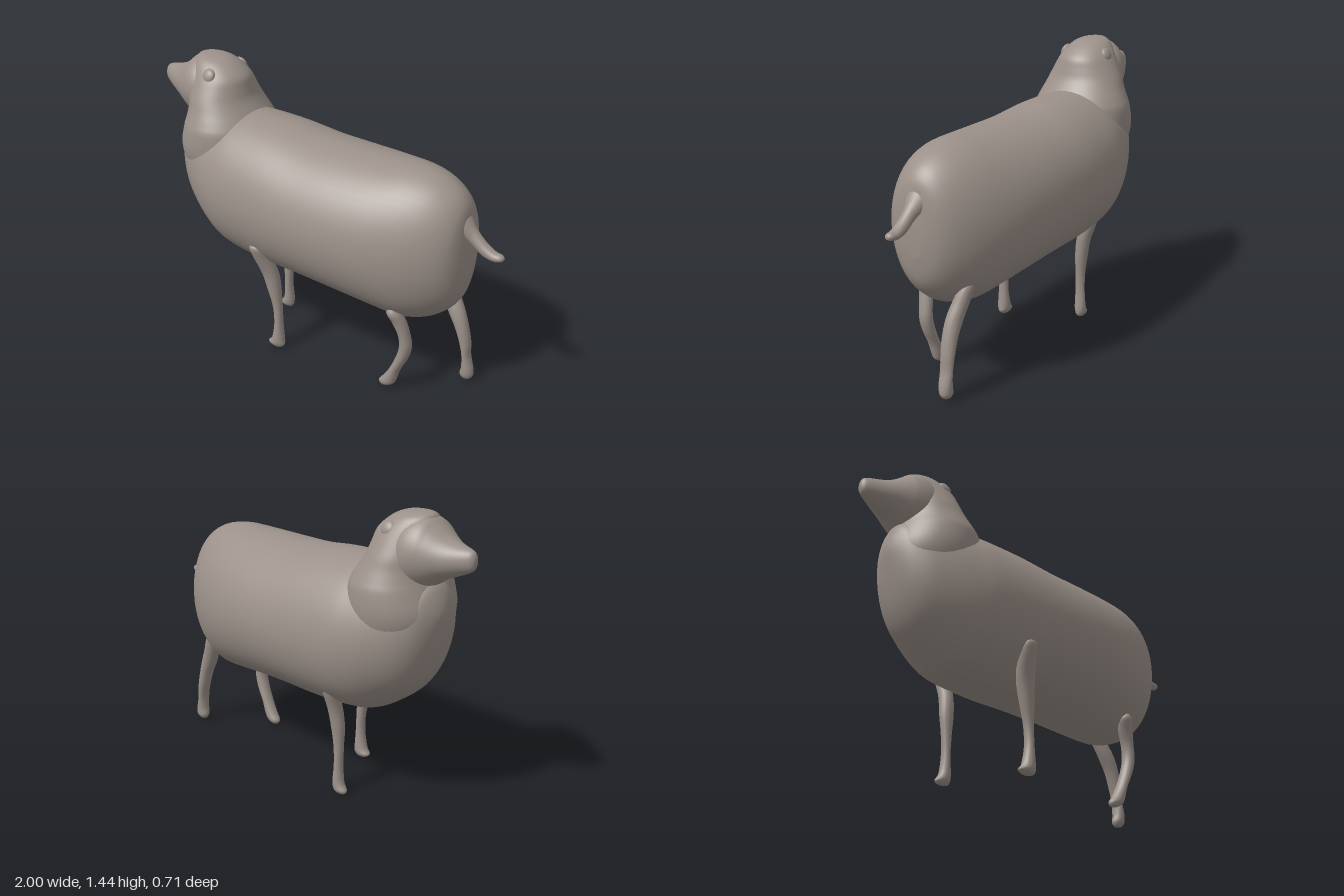
import * as THREE from 'three';

const wool = new THREE.MeshStandardMaterial({ color: 0x9c918a });
wool.name = 'warm grey wool';

// Uniform Catmull-Rom interpolation between neighbouring values
function cubic(a, b, c, d, t) {
  return b + 0.5 * t * (c - a + t * (2 * a - 5 * b + 4 * c - d + t * (3 * (b - c) + d - a)));
}

function refine(rings, steps) {
  const out = [];
  const at = i => rings[Math.min(rings.length - 1, Math.max(0, i))];
  for (let i = 0; i < rings.length - 1; i++) {
    for (let s = 0; s < steps; s++) {
      out.push(rings[i].map((_, k) => cubic(at(i - 1)[k], at(i)[k], at(i + 1)[k], at(i + 2)[k], s / steps)));
    }
  }
  out.push(at(rings.length));
  return out;
}

// Closed loft of ellipses along 'x' or 'y'.
// Ring: [position on axis (ascending), low edge, high edge, half width in z, z centre]
function loft(name, axis, rings, sides = 40, steps = 4) {
  const list = refine(rings.map(r => [r[0], r[1], r[2], r[3], r[4] || 0]), steps);
  const pos = [], index = [];
  const put = (p, q, z) => (axis === 'x' ? pos.push(p, q, z) : pos.push(q, p, z));
  const dir = axis === 'x' ? -1 : 1;
  for (const [p, lo, hi, w, zc] of list) {
    for (let j = 0; j < sides; j++) {
      const a = (j / sides) * Math.PI * 2;
      put(p, (lo + hi) / 2 + Math.cos(a) * (hi - lo) / 2, zc + dir * Math.sin(a) * w);
    }
  }
  const n = list.length;
  for (let i = 0; i < n - 1; i++) {
    for (let j = 0; j < sides; j++) {
      const k = (j + 1) % sides;
      const a = i * sides + j, b = a + sides, c = i * sides + k, d = c + sides;
      index.push(a, b, c, b, d, c);
    }
  }
  // Rounded ends meet at one centre point
  for (const [i, flip] of [[0, false], [n - 1, true]]) {
    const [p, lo, hi, , zc] = list[i];
    const centre = pos.length / 3;
    put(p, (lo + hi) / 2, zc);
    for (let j = 0; j < sides; j++) {
      const a = i * sides + j, b = i * sides + (j + 1) % sides;
      if (flip) index.push(centre, b, a);
      else index.push(centre, a, b);
    }
  }
  const g = new THREE.BufferGeometry();
  g.setAttribute('position', new THREE.Float32BufferAttribute(pos, 3));
  g.setIndex(index);
  g.computeVertexNormals();
  const mesh = new THREE.Mesh(g, wool);
  mesh.name = name;
  return mesh;
}

export function createModel() {
  const sheep = new THREE.Group();
  sheep.name = 'sheep';

  // Barrel-shaped body, chest to rump
  sheep.add(loft('body', 'x', [
    [-0.835, 1.02, 0.98, 0.02], [-0.825, 1.07, 0.92, 0.06], [-0.8, 1.13, 0.81, 0.12],
    [-0.76, 1.16, 0.7, 0.17], [-0.7, 1.18, 0.61, 0.22], [-0.6, 1.19, 0.53, 0.275],
    [-0.5, 1.19, 0.47, 0.312], [-0.4, 1.195, 0.445, 0.333], [-0.2, 1.187, 0.43, 0.348],
    [0, 1.165, 0.43, 0.355], [0.2, 1.16, 0.42, 0.352], [0.4, 1.16, 0.4, 0.332],
    [0.55, 1.16, 0.385, 0.295], [0.66, 1.14, 0.415, 0.25], [0.74, 1.1, 0.47, 0.2],
    [0.79, 1.05, 0.53, 0.15], [0.815, 0.98, 0.59, 0.1], [0.83, 0.82, 0.68, 0.04],
  ].map(([x, top, bottom, w]) => [x, bottom, top, w]), 56));

  // Neck narrowing up into the crown
  sheep.add(loft('neckAndCrown', 'y', [
    [0.75, -0.7, -0.36, 0.18], [0.9, -0.8, -0.34, 0.24], [1.0, -0.825, -0.34, 0.262],
    [1.1, -0.8, -0.36, 0.258], [1.15, -0.785, -0.385, 0.24], [1.2, -0.775, -0.42, 0.217],
    [1.25, -0.775, -0.45, 0.197], [1.3, -0.775, -0.465, 0.172], [1.35, -0.775, -0.48, 0.145],
    [1.39, -0.772, -0.52, 0.118], [1.42, -0.765, -0.565, 0.09], [1.437, -0.75, -0.61, 0.055],
    [1.442, -0.72, -0.65, 0.025],
  ], 48));

  // Tapered muzzle
  sheep.add(loft('muzzle', 'x', [
    [-1, 1.26, 1.29, 0.01], [-0.992, 1.238, 1.312, 0.024], [-0.97, 1.222, 1.325, 0.04],
    [-0.9, 1.19, 1.34, 0.078], [-0.85, 1.168, 1.36, 0.104], [-0.8, 1.135, 1.395, 0.13],
    [-0.76, 1.11, 1.425, 0.148], [-0.7, 1.09, 1.43, 0.16], [-0.6, 1.1, 1.4, 0.15],
  ]));

  // Small bulging eyes
  for (const side of [1, -1]) {
    const eye = new THREE.Mesh(new THREE.SphereGeometry(0.036, 20, 14), wool);
    eye.name = side > 0 ? 'leftSideEye' : 'rightSideEye';
    eye.scale.set(1, 1, 0.55);
    eye.position.set(-0.607, 1.368, side * 0.122);
    eye.rotation.x = -side * 0.45;
    sheep.add(eye);
  }

  // Tail dropping from the rump, with an upturned tip
  sheep.add(loft('tail', 'x', [
    [0.76, 0.84, 1.02, 0.09], [0.81, 0.87, 0.985, 0.055], [0.85, 0.845, 0.93, 0.034],
    [0.9, 0.81, 0.88, 0.03], [0.95, 0.8, 0.847, 0.028], [0.985, 0.805, 0.84, 0.022],
    [1, 0.815, 0.83, 0.01],
  ], 20));

  // Four legs in a walking stance: [height, nose-side x, tail-side x, half width, z]
  sheep.add(loft('nearFrontLeg', 'y', [
    [0.012, -0.175, -0.115, 0.018, 0.2], [0.03, -0.196, -0.1, 0.03, 0.2],
    [0.06, -0.172, -0.103, 0.033, 0.2], [0.15, -0.155, -0.11, 0.027, 0.2],
    [0.25, -0.162, -0.112, 0.026, 0.2], [0.35, -0.188, -0.115, 0.034, 0.205],
    [0.45, -0.215, -0.122, 0.04, 0.215], [0.55, -0.237, -0.145, 0.042, 0.25],
    [0.61, -0.238, -0.16, 0.035, 0.278], [0.63, -0.22, -0.18, 0.015, 0.285],
  ], 20));
  sheep.add(loft('farFrontLeg', 'y', [
    [0.005, -0.385, -0.325, 0.015, -0.152], [0.022, -0.395, -0.314, 0.027, -0.152],
    [0.06, -0.37, -0.313, 0.03, -0.152], [0.15, -0.361, -0.32, 0.026, -0.15],
    [0.25, -0.366, -0.315, 0.026, -0.15], [0.35, -0.374, -0.305, 0.033, -0.155],
    [0.45, -0.37, -0.3, 0.038, -0.17], [0.55, -0.37, -0.3, 0.038, -0.205],
    [0.61, -0.36, -0.31, 0.02, -0.23],
  ], 20));
  sheep.add(loft('nearHindLeg', 'y', [
    [0.005, 0.46, 0.5, 0.018, 0.135], [0.025, 0.453, 0.535, 0.03, 0.135],
    [0.06, 0.48, 0.55, 0.033, 0.135], [0.12, 0.515, 0.568, 0.033, 0.135],
    [0.2, 0.548, 0.608, 0.034, 0.135], [0.27, 0.565, 0.625, 0.035, 0.137],
    [0.34, 0.558, 0.615, 0.035, 0.142], [0.41, 0.528, 0.6, 0.037, 0.155],
    [0.46, 0.51, 0.58, 0.036, 0.175], [0.49, 0.525, 0.555, 0.015, 0.185],
  ], 20));
  sheep.add(loft('farHindLeg', 'y', [
    [0.018, 0.765, 0.81, 0.018, -0.132], [0.04, 0.755, 0.825, 0.031, -0.132],
    [0.08, 0.763, 0.822, 0.034, -0.13], [0.15, 0.763, 0.803, 0.034, -0.13],
    [0.22, 0.745, 0.8, 0.036, -0.13], [0.3, 0.715, 0.785, 0.038, -0.128],
    [0.38, 0.67, 0.76, 0.04, -0.13], [0.45, 0.635, 0.725, 0.038, -0.14],
    [0.52, 0.605, 0.69, 0.032, -0.155], [0.555, 0.61, 0.66, 0.015, -0.165],
  ], 20));

  return sheep;
}
